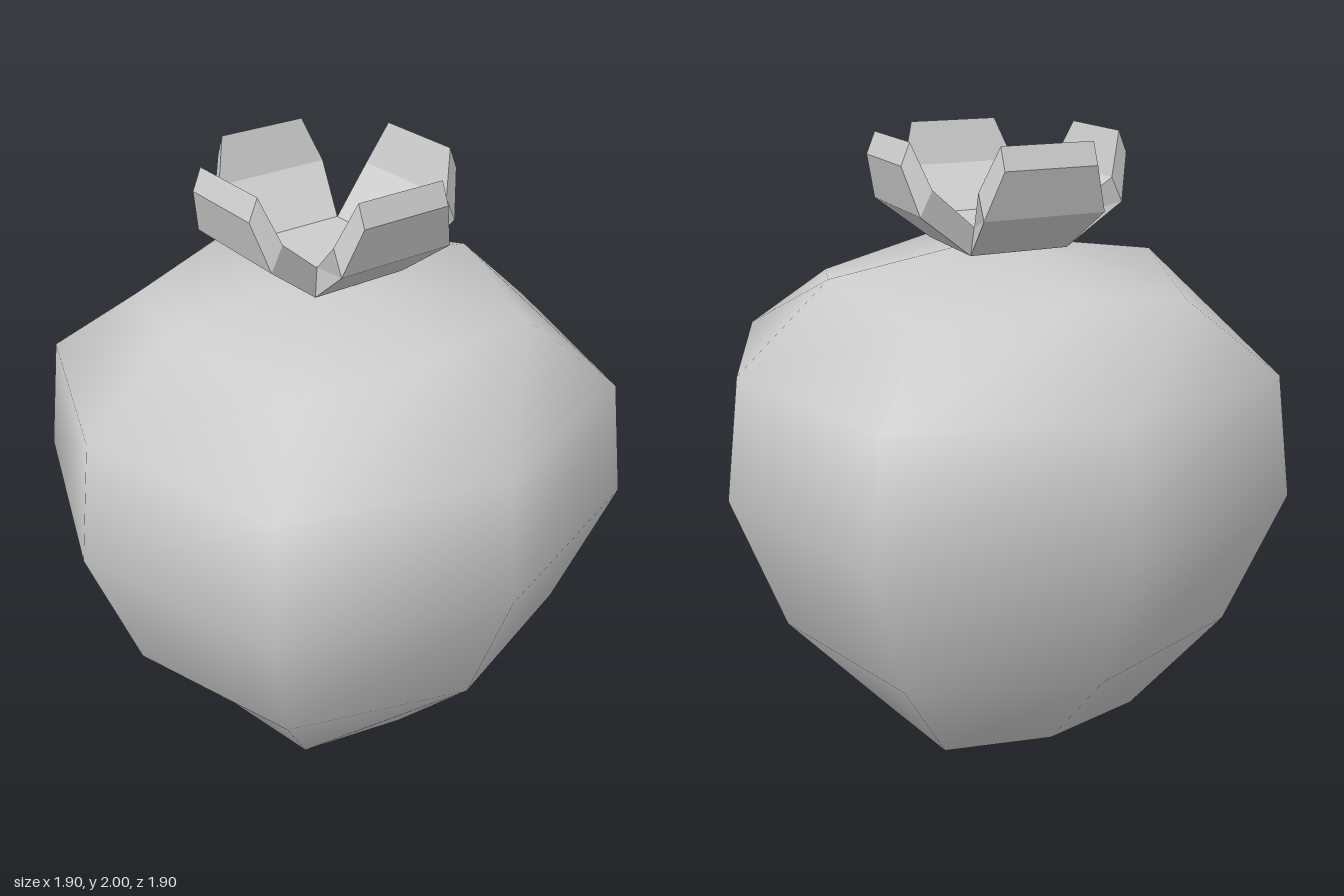
import * as THREE from 'three';

const material = () => new THREE.MeshStandardMaterial({ color: 0xcccccc });

function buildGeometry(points, faces) {
  const geometry = new THREE.BufferGeometry();
  geometry.setAttribute('position', new THREE.Float32BufferAttribute(points.flat(), 3));
  geometry.setIndex(faces.flat());
  geometry.computeVertexNormals();
  return geometry;
}

// Eight-sided fruit: rings alternate between axis and diagonal radius/height
function createBody() {
  const rings = [ // axis radius, axis y, diagonal radius, diagonal y
    [0.44, 0, 0.51, 0],
    [0.78, 0.4, 0.82, 0.4],
    [0.95, 0.88, 1.005, 0.88],
    [0.895, 1.29, 0.95, 1.28],
    [0.585, 1.57, 0.64, 1.5],
  ];
  const points = [], faces = [];
  for (const [ra, ya, rd, yd] of rings) {
    for (let i = 0; i < 8; i++) {
      const a = (i * Math.PI) / 4;
      const r = i % 2 ? rd : ra;
      points.push([r * Math.sin(a), i % 2 ? yd : ya, r * Math.cos(a)]);
    }
  }
  const bottom = points.length, top = bottom + 1, last = (rings.length - 1) * 8;
  points.push([0, 0, 0], [0, 1.66, 0]);
  for (let i = 0; i < 8; i++) {
    const j = (i + 1) % 8;
    for (let k = 0; k < last; k += 8) {
      faces.push([k + i, k + j, k + 8 + j], [k + i, k + 8 + j, k + 8 + i]);
    }
    faces.push([bottom, j, i], [top, last + i, last + j]);
  }
  const body = new THREE.Mesh(buildGeometry(points, faces), material());
  body.name = 'fruitBody';
  return body;
}

// One thick sepal pointing to +z, lofted through three four-cornered sections
function createSepalGeometry() {
  const sections = [ // outer z, outer y, outer half width, inner z, inner y, inner half width
    [0.17, 1.64, 0.17, 0.147, 1.725, 0.147],
    [0.35, 1.78, 0.205, 0.31, 1.86, 0.205],
    [0.39, 1.93, 0.155, 0.36, 2.0, 0.155],
  ];
  const points = [], faces = [];
  for (const [oz, oy, ow, iz, iy, iw] of sections) {
    points.push([-ow, oy, oz], [ow, oy, oz], [iw, iy, iz], [-iw, iy, iz]);
  }
  for (let k = 0; k < 8; k += 4) {
    for (let i = 0; i < 4; i++) {
      const j = (i + 1) % 4;
      faces.push([k + i, k + j, k + 4 + j], [k + i, k + 4 + j, k + 4 + i]);
    }
  }
  faces.push([8, 9, 10], [8, 10, 11]); // tip
  return buildGeometry(points, faces);
}

function createCrown() {
  const crown = new THREE.Group();
  crown.name = 'crown';
  const flat = material();
  flat.flatShading = true;

  const sepalGeometry = createSepalGeometry();
  for (let i = 0; i < 4; i++) {
    const sepal = new THREE.Mesh(sepalGeometry, flat);
    sepal.name = 'sepal';
    sepal.rotation.y = (i * Math.PI) / 2;
    crown.add(sepal);
  }

  // Square floor between the sepals, tapering up from the wider base
  const floorGeometry = new THREE.CylinderGeometry(0.147 * Math.SQRT2, 0.17 * Math.SQRT2, 0.085, 4);
  floorGeometry.rotateY(Math.PI / 4).translate(0, 1.6825, 0);
  const floor = new THREE.Mesh(floorGeometry, flat);
  floor.name = 'crownFloor';
  crown.add(floor);
  return crown;
}

export function createModel() {
  const model = new THREE.Group();
  model.name = 'fruit';
  model.add(createBody(), createCrown());
  return model;
}
